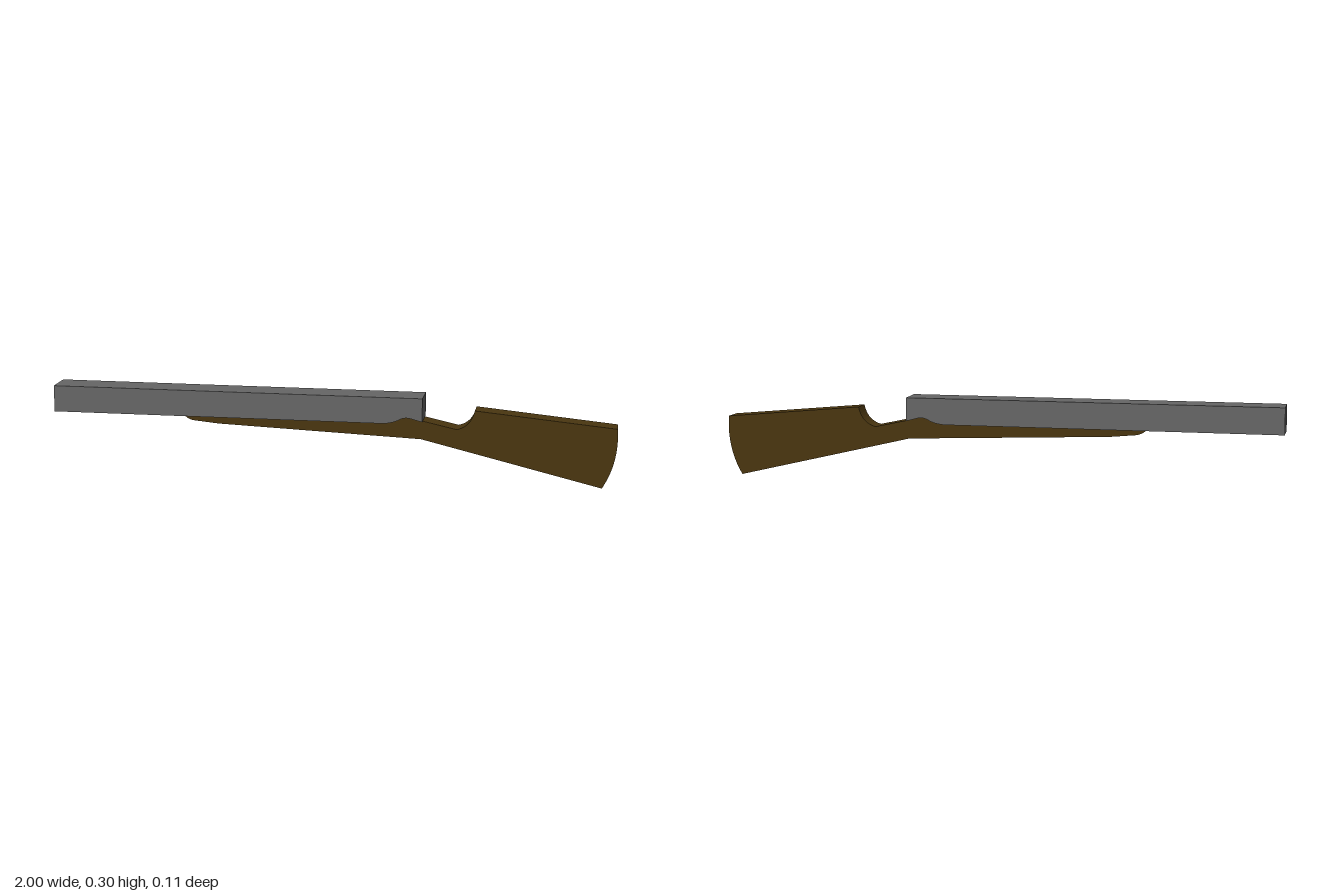
import * as THREE from 'three';

// Extrudes a side profile (x, y) to a given width, centred on z = 0.
function slab(name, shape, width, color) {
  const geometry = new THREE.ExtrudeGeometry(shape, { depth: width, bevelEnabled: false, curveSegments: 10 });
  geometry.translate(0, 0, -width / 2);
  const material = new THREE.MeshStandardMaterial({ color, flatShading: true });
  const mesh = new THREE.Mesh(geometry, material);
  mesh.name = name;
  return mesh;
}

// Shared contour where the stock meets the underside of the barrel block.
function seam(shape) {
  shape.lineTo(0.19, 0.205);
  shape.quadraticCurveTo(0.225, 0.208, 0.245, 0.22);
  shape.quadraticCurveTo(0.26, 0.229, 0.28, 0.227);
  shape.lineTo(0.326, 0.215);
}

export function createModel() {
  const group = new THREE.Group();
  group.name = 'longGun';

  // Square barrel block, hollowed underneath to sit on the stock
  const barrel = new THREE.Shape();
  barrel.moveTo(-1, 0.204);
  seam(barrel);
  barrel.lineTo(0.326, 0.298);
  barrel.lineTo(-1, 0.298);
  barrel.closePath();
  group.add(slab('barrelBlock', barrel, 0.11, 0x666666));

  // Wooden stock: fore-end, grip, thumb cut-out and curved butt
  const stock = new THREE.Shape();
  stock.moveTo(-0.527, 0.205);
  seam(stock);
  stock.lineTo(0.445, 0.189);
  stock.bezierCurveTo(0.475, 0.197, 0.497, 0.215, 0.507, 0.258);
  stock.lineTo(0.997, 0.212);
  stock.quadraticCurveTo(1.007, 0.095, 0.95, 0);
  stock.lineTo(0.32, 0.15);
  stock.lineTo(-0.4, 0.178);
  stock.lineTo(-0.495, 0.187);
  stock.quadraticCurveTo(-0.515, 0.192, -0.527, 0.205);
  group.add(slab('stock', stock, 0.074, 0x4a3610));

  return group;
}
